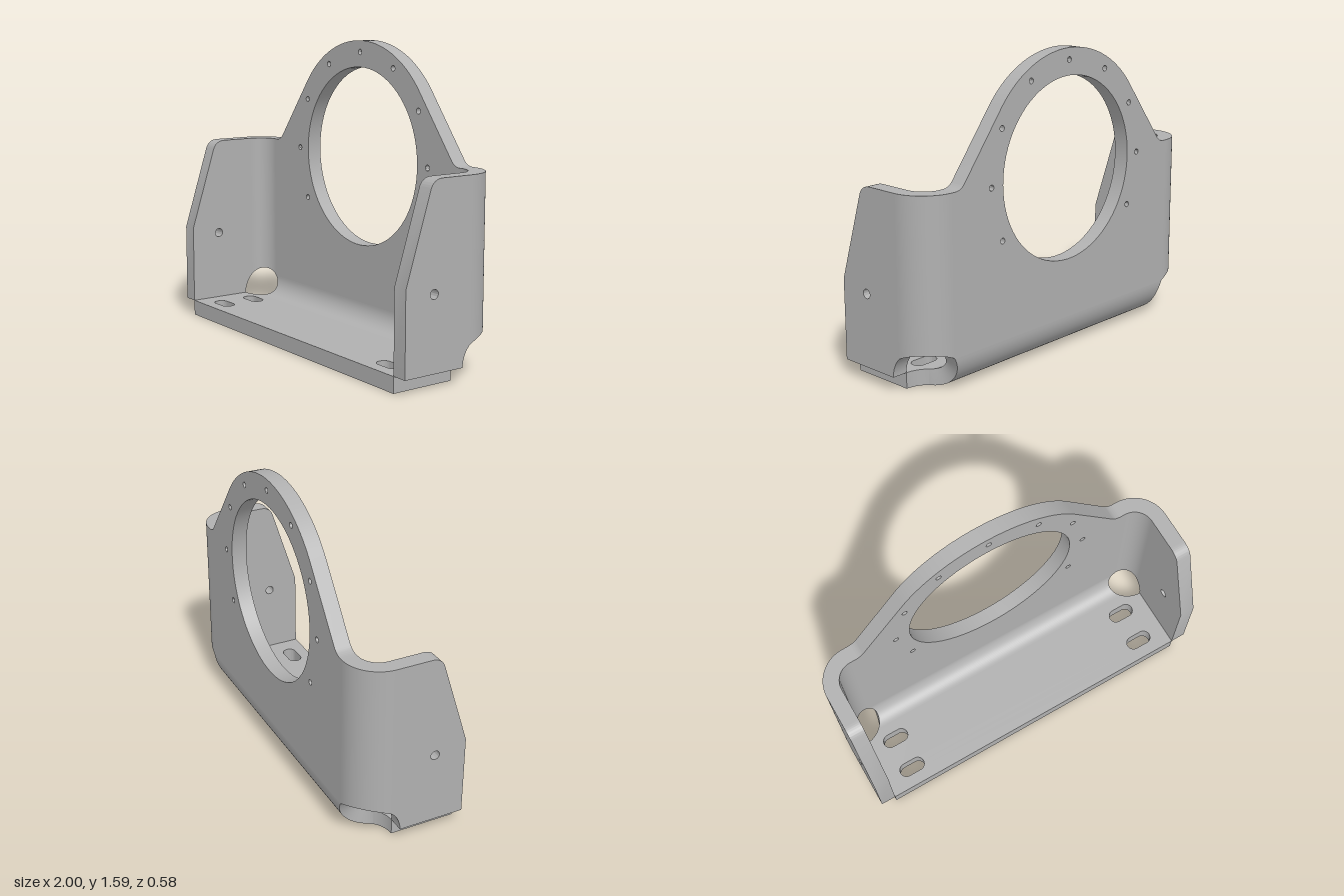
import * as THREE from 'three';
import { toCreasedNormals } from 'three/addons/utils/BufferGeometryUtils.js';

const T = 0.083;              // sheet thickness
const RI = 0.102, RO = RI + T; // bend radii
const IX = 0.917, IY = T, IZ = -0.207; // inner corner where the three sheets meet
const RELIEF = 0.147;         // corner relief radius
const CX = IX - RI, CY = IY + RI, CZ = IZ + RI; // bend axes
const BACK = -0.29, FRONT = 0.29;

const cut = (d) => Math.sqrt(Math.max(0, RELIEF * RELIEF - d * d));

// relief edge on a flat sheet: [distance from corner, setback] pairs
const reliefEdge = [];
const end = Math.acos(RI / RELIEF);
for (let i = 0; i <= 8; i++) {
  const p = (end * i) / 8;
  reliefEdge.push([RELIEF * Math.cos(p), RELIEF * Math.sin(p)]);
}

function circleHole(shape, x, y, r) {
  shape.holes.push(new THREE.Path().absarc(x, y, r, 0, Math.PI * 2, true));
}

function plate(shape) {
  const g = new THREE.ExtrudeGeometry(shape, { depth: T, bevelEnabled: false, curveSegments: 40 });
  return toCreasedNormals(g, 0.5);
}

// sweep four-cornered sections; each long side is a smooth strip of its own
function loft(sections) {
  const pos = [], index = [];
  for (let k = 0; k < 4; k++) {
    const base = pos.length / 3;
    sections.forEach((s, i) => {
      pos.push(...s[k], ...s[(k + 1) % 4]);
      if (i === 0) return;
      const a = base + (i - 1) * 2, b = a + 1, c = a + 2, d = a + 3;
      index.push(a, c, b, b, c, d);
    });
  }
  const g = new THREE.BufferGeometry();
  g.setAttribute('position', new THREE.Float32BufferAttribute(pos, 3));
  g.setIndex(index);
  g.computeVertexNormals();
  return g;
}

// quarter bend: fn(cos, sin, setback) returns one section
function bend(fn) {
  const out = [], n = 20;
  for (let i = 0; i <= n; i++) {
    const a = (i / n) * Math.PI / 2, c = Math.cos(a), s = Math.sin(a);
    out.push(fn(c, s, cut(Math.hypot(RI * (1 - c), RI * (1 - s)))));
  }
  return out;
}

function backPlate() {
  const k = cut(RI), cy = 0.975, a0 = 0.6556;
  const s = new THREE.Shape();
  s.moveTo(-IX + k, CY);
  s.lineTo(IX - k, CY);
  s.lineTo(CX, IY + k);
  s.lineTo(CX, 1);
  s.lineTo(0.795, 1);
  s.quadraticCurveTo(0.757, 1, 0.734, 1.03);
  s.absarc(0, cy, 0.615, a0, Math.PI - a0, false);
  s.lineTo(-0.734, 1.03);
  s.quadraticCurveTo(-0.757, 1, -0.795, 1);
  s.lineTo(-CX, 1);
  s.lineTo(-CX, IY + k);
  s.closePath();
  circleHole(s, 0, cy, 0.476);
  // bolt circle
  for (let i = -4; i <= 4; i++) {
    const a = Math.PI / 2 + (i * Math.PI) / 6;
    circleHole(s, 0.555 * Math.cos(a), cy + 0.555 * Math.sin(a), 0.015);
  }
  return plate(s).translate(0, 0, BACK);
}

// drawn in (-z, y)
function sideFlange(x) {
  const s = new THREE.Shape();
  s.moveTo(-CZ, 1);
  s.quadraticCurveTo(-CZ, 1, -0.076, 1);
  s.quadraticCurveTo(-0.13, 1, -0.148, 0.954);
  s.lineTo(-FRONT, 0.505);
  s.lineTo(-FRONT, IY);
  for (const [d, c] of reliefEdge) s.lineTo(-IZ - d, IY + c);
  s.closePath();
  circleHole(s, -0.12, 0.463, 0.024);
  return plate(s).rotateY(Math.PI / 2).translate(x, 0, 0);
}

// drawn in (x, -z)
function basePlate() {
  const s = new THREE.Shape();
  s.moveTo(-IX, -FRONT);
  s.lineTo(IX, -FRONT);
  for (const [d, c] of reliefEdge) s.lineTo(IX - c, -IZ - d);
  for (const [d, c] of [...reliefEdge].reverse()) s.lineTo(-IX + c, -IZ - d);
  s.closePath();
  // mounting slots
  const r = 0.038, h = 0.035;
  for (const x of [-0.753, 0.753]) for (const z of [-0.007, 0.187]) {
    const p = new THREE.Path();
    p.absarc(x + h, -z, r, -Math.PI / 2, Math.PI / 2, false);
    p.absarc(x - h, -z, r, Math.PI / 2, Math.PI * 1.5, false);
    p.closePath();
    s.holes.push(p);
  }
  return plate(s).rotateX(-Math.PI / 2);
}

function sideBend(side) {
  const sections = bend((c, s, k) => {
    const pt = (r, y) => [side * (CX + r * c), y, CZ - r * s];
    const lo = IY + k;
    return [pt(RO, lo), pt(RO, 1), pt(RI, 1), pt(RI, lo)];
  });
  return loft(side > 0 ? sections : sections.reverse());
}

function baseBend() {
  return loft(bend((c, s, k) => {
    const pt = (r, x) => [x, CY - r * c, CZ - r * s];
    const w = IX - k;
    return [pt(RO, -w), pt(RO, w), pt(RI, w), pt(RI, -w)];
  }));
}

export function createModel() {
  const group = new THREE.Group();
  group.name = 'motorBracket';
  const steel = new THREE.MeshStandardMaterial({ color: 0xb0b0b0 });
  steel.name = 'grey steel';
  const add = (name, geometry) => {
    const m = new THREE.Mesh(geometry, steel);
    m.name = name;
    group.add(m);
  };
  add('backPlate', backPlate());
  add('basePlate', basePlate());
  add('baseBend', baseBend());
  add('leftFlange', sideFlange(IX));
  add('rightFlange', sideFlange(-IX - T));
  add('leftBend', sideBend(1));
  add('rightBend', sideBend(-1));
  return group;
}
